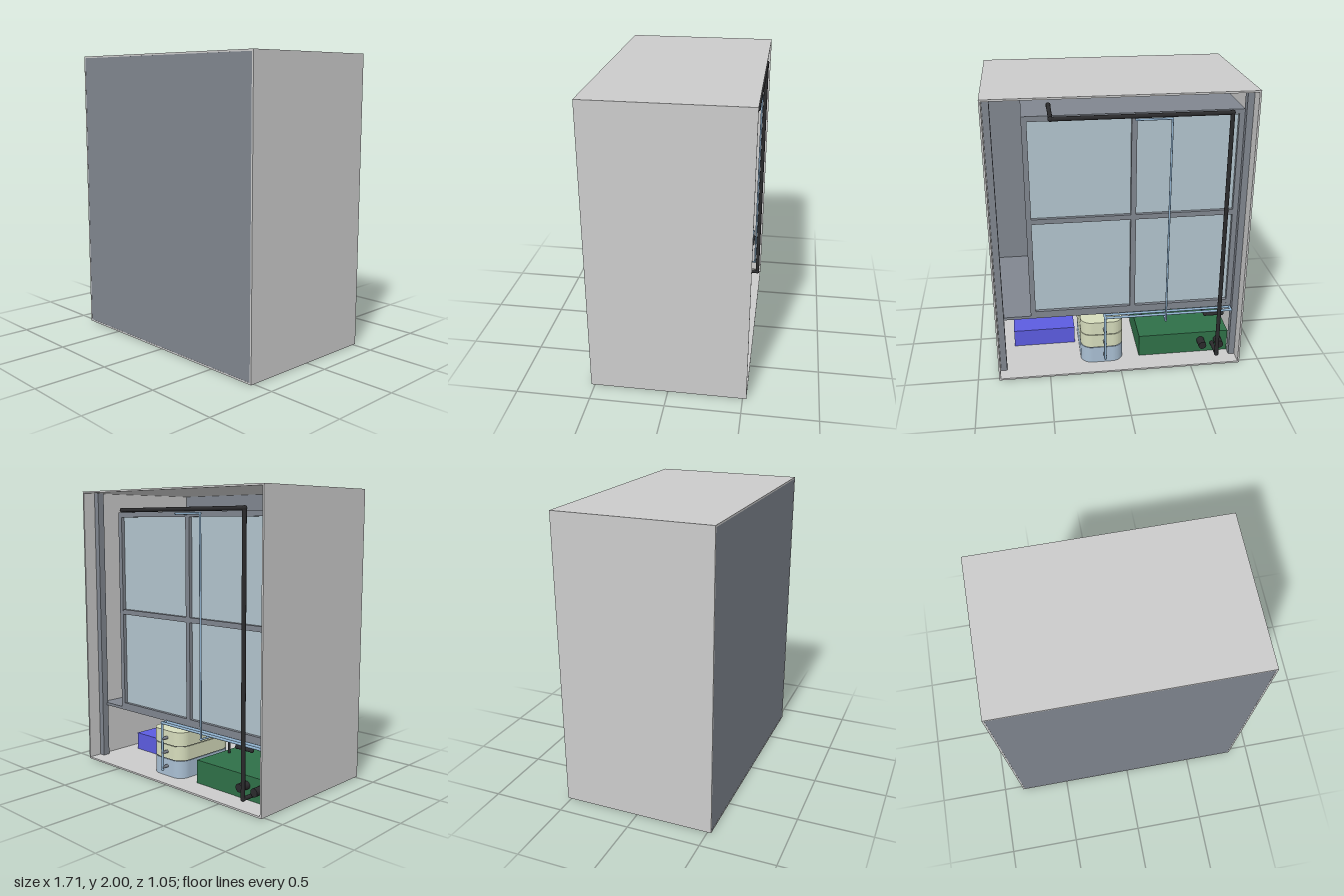
import * as THREE from 'three';

const mat = (color) => new THREE.MeshStandardMaterial({ color, side: THREE.DoubleSide });

export function createModel() {
  const model = new THREE.Group();
  const grey = mat(0xcccccc), steel = mat(0x80868f), glass = mat(0xb2c4cd), black = mat(0x2a2a2c);
  const green = mat(0x2f7048), violet = mat(0x5c5ce0), cream = mat(0xd6dcbc), paleBlue = mat(0xa9bfd3);
  const tubeBlue = mat(0x8fb0cc);

  const add = (name, geometry, material, parent = model) => {
    const mesh = new THREE.Mesh(geometry, material);
    mesh.name = name;
    parent.add(mesh);
    return mesh;
  };
  // Box given by its limits on each axis
  const box = (name, material, [x0, x1], [y0, y1], [z0, z1], parent) => {
    const mesh = add(name, new THREE.BoxGeometry(x1 - x0, y1 - y0, z1 - z0), material, parent);
    mesh.position.set((x0 + x1) / 2, (y0 + y1) / 2, (z0 + z1) / 2);
    return mesh;
  };
  // Pipe run of straight cylinders with ball elbows
  const pipe = (name, material, radius, points) => {
    const run = new THREE.Group();
    run.name = name;
    model.add(run);
    const p = points.map((q) => new THREE.Vector3(...q));
    for (let i = 0; i < p.length - 1; i++) {
      const dir = p[i + 1].clone().sub(p[i]);
      const m = add(name + 'Section', new THREE.CylinderGeometry(radius, radius, dir.length(), 16), material, run);
      m.position.copy(p[i]).addScaledVector(dir, 0.5);
      m.quaternion.setFromUnitVectors(new THREE.Vector3(0, 1, 0), dir.normalize());
    }
    p.forEach((q) => add(name + 'Elbow', new THREE.SphereGeometry(radius * 1.2, 16, 10), material, run).position.copy(q));
  };

  // Cabinet shell, open at the back
  const W = 0.855, D = 0.525, T = 0.012;
  box('cabinetFloor', grey, [-W, W], [0, T], [-D, D]);
  box('cabinetTop', grey, [-W, W], [2 - T, 2], [-D, D]);
  for (const s of [-1, 1]) {
    const side = box('cabinetSide', grey, [W - T, W], [T, 2 - T], [-D, D]);
    side.position.x *= s;
    const post = box('cornerPost', steel, [0.8, W - T], [T, 2 - T], [-0.43, -0.38]);
    post.position.x *= s;
  }
  box('frontPanel', steel, [-W + T, W - T], [T, 2 - T], [D - 0.015, D - 0.001]);

  // Shelf carrying the inner chamber
  box('shelf', steel, [-W + T, W - T], [0.4, 0.42], [-0.39, 0.51]);

  // Inner chamber behind a four-pane window
  const L = -0.8, R = 0.615, B = 0.42, H = 1.85, Z = -0.395;
  box('chamberLeftWall', steel, [R - 0.02, R], [B, H], [-0.36, 0.51]);
  box('chamberRightWall', steel, [L, L + 0.02], [B, H], [-0.36, 0.51]);
  box('chamberRoof', steel, [L, R], [H - 0.02, H], [-0.36, 0.51]);
  box('windowGlass', glass, [L + 0.02, R - 0.02], [B + 0.02, H - 0.02], [-0.37, -0.36]);
  const midX = (L + R) / 2, midY = (B + H) / 2, bar = 0.035;
  for (const x of [L + bar / 2, midX, R - bar / 2])
    box('windowStile', steel, [x - bar / 2, x + bar / 2], [B, H], [Z, -0.355]);
  for (const y of [B + bar / 2, midY, H - bar / 2])
    box('windowRail', steel, [L, R], [y - bar / 2, y + bar / 2], [Z + 0.001, -0.356]);

  // Machinery on the floor
  box('greenUnit', green, [-0.8, -0.149], [T, 0.175], [-0.369, 0.1]);
  box('violetUnit', violet, [0.3, 0.744], [T, 0.14], [-0.139, 0.3]);
  for (const x of [-0.6, -0.725]) {
    const port = add('unitPort', new THREE.CylinderGeometry(0.028, 0.028, 0.08, 20), black);
    port.rotation.x = Math.PI / 2;
    port.position.set(x, 0.11, -0.405);
  }

  // Stacked tanks with rounded corners, each with a tap
  const tank = (name, material, y0, y1, inset) => {
    const a = 0.15 - inset, b = 0.255 - inset, r = 0.08 - inset;
    const s = new THREE.Shape();
    s.absarc(a - r, b - r, r, 0, Math.PI / 2);
    s.absarc(-a + r, b - r, r, Math.PI / 2, Math.PI);
    s.absarc(-a + r, -b + r, r, Math.PI, Math.PI * 1.5);
    s.absarc(a - r, -b + r, r, Math.PI * 1.5, Math.PI * 2);
    const g = new THREE.ExtrudeGeometry(s, { depth: y1 - y0, bevelEnabled: false, curveSegments: 10 });
    g.rotateX(-Math.PI / 2);
    add(name, g, material).position.set(0.12, y0, -0.155);
  };
  tank('lowerTank', paleBlue, T, 0.135, 0);
  tank('tankSeam', black, 0.135, 0.141, 0.006);
  tank('middleTank', cream, 0.141, 0.238, 0);
  tank('tankSeam', black, 0.238, 0.244, 0.006);
  tank('upperTank', cream, 0.244, 0.34, 0);
  for (const y of [0.085, 0.19, 0.29]) {
    const tap = add('tankTap', new THREE.CylinderGeometry(0.011, 0.011, 0.06, 14), steel);
    tap.rotation.x = Math.PI / 2;
    tap.position.set(0.105, y, -0.43);
  }

  // Black main pipe from the green unit up to the chamber roof
  pipe('mainPipe', black, 0.014, [[-0.688, 0.077, -0.369], [-0.688, 0.077, -0.504], [-0.688, 1.862, -0.504],
    [0.437, 1.862, -0.504], [0.437, 1.862, -0.2]]);
  pipe('drainPipe', black, 0.012, [[-0.72, 0.385, -0.46], [-0.6, 0.385, -0.46], [-0.6, 0.385, 0.05], [-0.6, 0.17, 0.05]]);
  pipe('unitVent', black, 0.01, [[-0.2, 0.17, -0.1], [-0.2, 0.27, -0.1]]);

  // Pale supply tubes
  pipe('tankRiser', tubeBlue, 0.009, [[0.105, 0.07, -0.455], [0.105, 0.405, -0.455], [-0.785, 0.405, -0.455],
    [-0.785, 0.405, -0.415], [0.105, 0.405, -0.415], [0.105, 0.405, -0.455]]);
  pipe('supplyTube', tubeBlue, 0.007, [[-0.313, 0.38, 0.2], [-0.313, 0.38, -0.496], [-0.313, 1.835, -0.496],
    [-0.09, 1.835, -0.496], [-0.09, 1.835, -0.38]]);

  return model;
}
